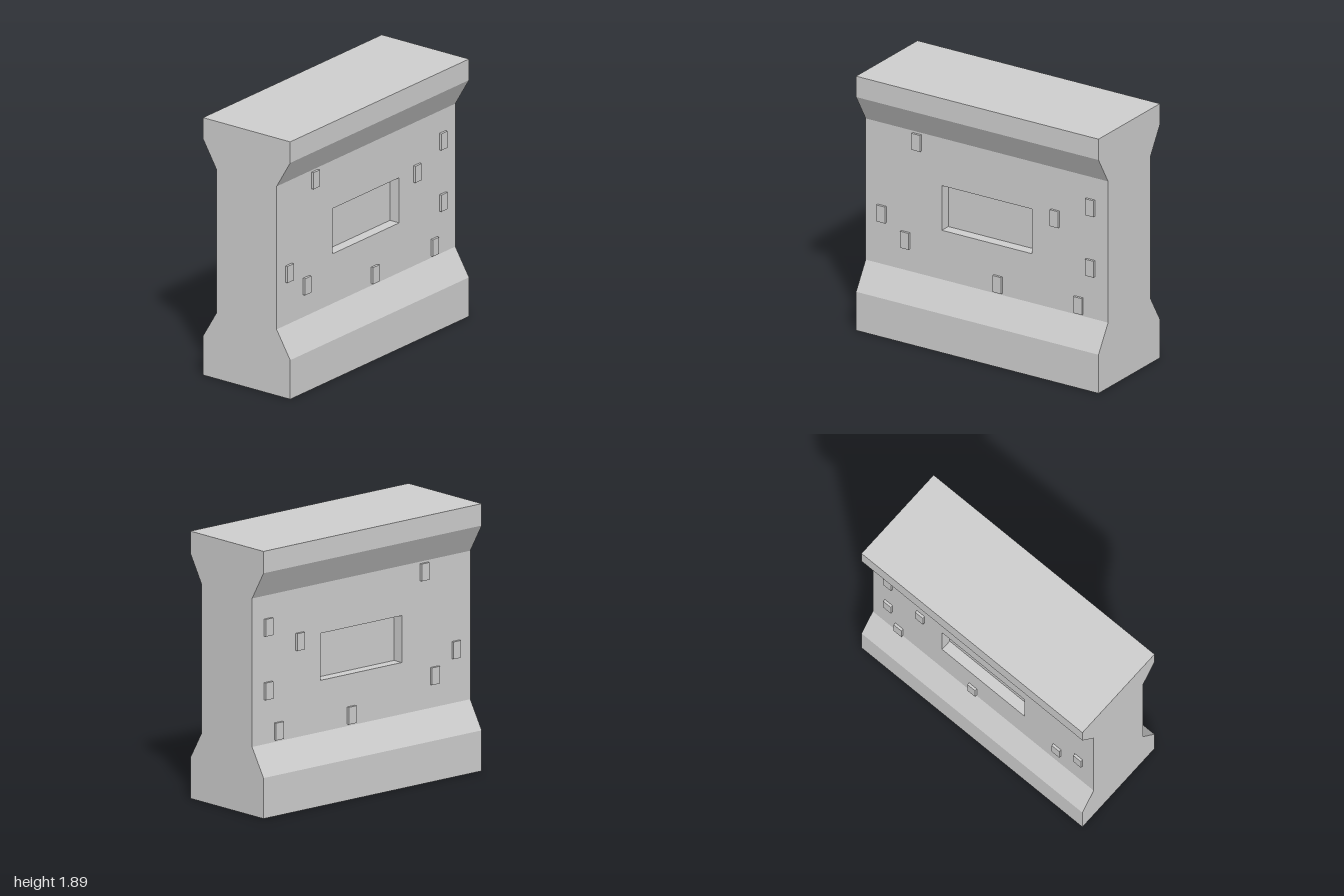
import * as THREE from 'three';

const HEIGHT = 1.89, WIDTH = 2;
const OUTER_Z = 0.378, WALL_Z = 0.26, PANEL_Z = 0.18, STUD_Z = 0.278;
const BASE_Y = 0.287, WALL_BOTTOM = 0.485, WALL_TOP = 1.535, CORNICE_Y = 1.735;

// Extrudes a profile, symmetric in z, along the whole width; points are [half depth, y]
function profileBar(points) {
  const outline = [
    ...points.map(([z, y]) => new THREE.Vector2(z, y)),
    ...points.map(([z, y]) => new THREE.Vector2(-z, y)).reverse(),
  ];
  const geometry = new THREE.ExtrudeGeometry(new THREE.Shape(outline), { depth: WIDTH, bevelEnabled: false });
  return geometry.translate(0, 0, -WIDTH / 2).rotateY(Math.PI / 2);
}

function rectangle(Type, x0, y0, x1, y1) {
  return new Type([[x0, y0], [x1, y0], [x1, y1], [x0, y1]].map(([x, y]) => new THREE.Vector2(x, y)));
}

export function createModel() {
  const model = new THREE.Group();
  model.name = 'wallBlock';
  const stone = new THREE.MeshStandardMaterial({ color: 0xcccccc });
  stone.name = 'grey stone';

  const add = (name, geometry, parent = model) => {
    const mesh = new THREE.Mesh(geometry, stone);
    mesh.name = name;
    parent.add(mesh);
    return mesh;
  };

  // Flared foot and head
  add('base', profileBar([[OUTER_Z, 0], [OUTER_Z, BASE_Y], [WALL_Z, WALL_BOTTOM]]));
  add('cornice', profileBar([[WALL_Z, WALL_TOP], [OUTER_Z, CORNICE_Y], [OUTER_Z, HEIGHT]]));

  // Wall with a rectangular opening, closed by a thinner panel to leave a niche on both faces
  const wallShape = rectangle(THREE.Shape, -WIDTH / 2, WALL_BOTTOM, WIDTH / 2, WALL_TOP);
  const niche = { x: 0.372, y0: 0.85, y1: 1.182 };
  wallShape.holes.push(rectangle(THREE.Path, -niche.x, niche.y0, niche.x, niche.y1));
  const wall = new THREE.ExtrudeGeometry(wallShape, { depth: 2 * WALL_Z, bevelEnabled: false });
  add('wall', wall.translate(0, 0, -WALL_Z));
  const panel = add('nichePanel', new THREE.BoxGeometry(2 * niche.x, niche.y1 - niche.y0, 2 * PANEL_Z));
  panel.position.y = (niche.y0 + niche.y1) / 2;

  // Small raised bricks, at the same places on front and back
  const bricks = new THREE.Group();
  bricks.name = 'raisedBricks';
  model.add(bricks);
  const inset = 0.01;
  const brickGeometry = new THREE.BoxGeometry(0.07, 0.122, STUD_Z - WALL_Z + inset);
  const places = [
    [-0.575, 1.46], [0.855, 1.31], [0.565, 1.16], [-0.865, 0.86],
    [0.855, 0.86], [-0.67, 0.71], [0.093, 0.56], [0.76, 0.56],
  ];
  for (const [x, y] of places) {
    for (const side of [1, -1]) {
      const brick = add(side > 0 ? 'frontBrick' : 'backBrick', brickGeometry, bricks);
      brick.position.set(x, y, side * (STUD_Z + WALL_Z - inset) / 2);
    }
  }
  return model;
}
